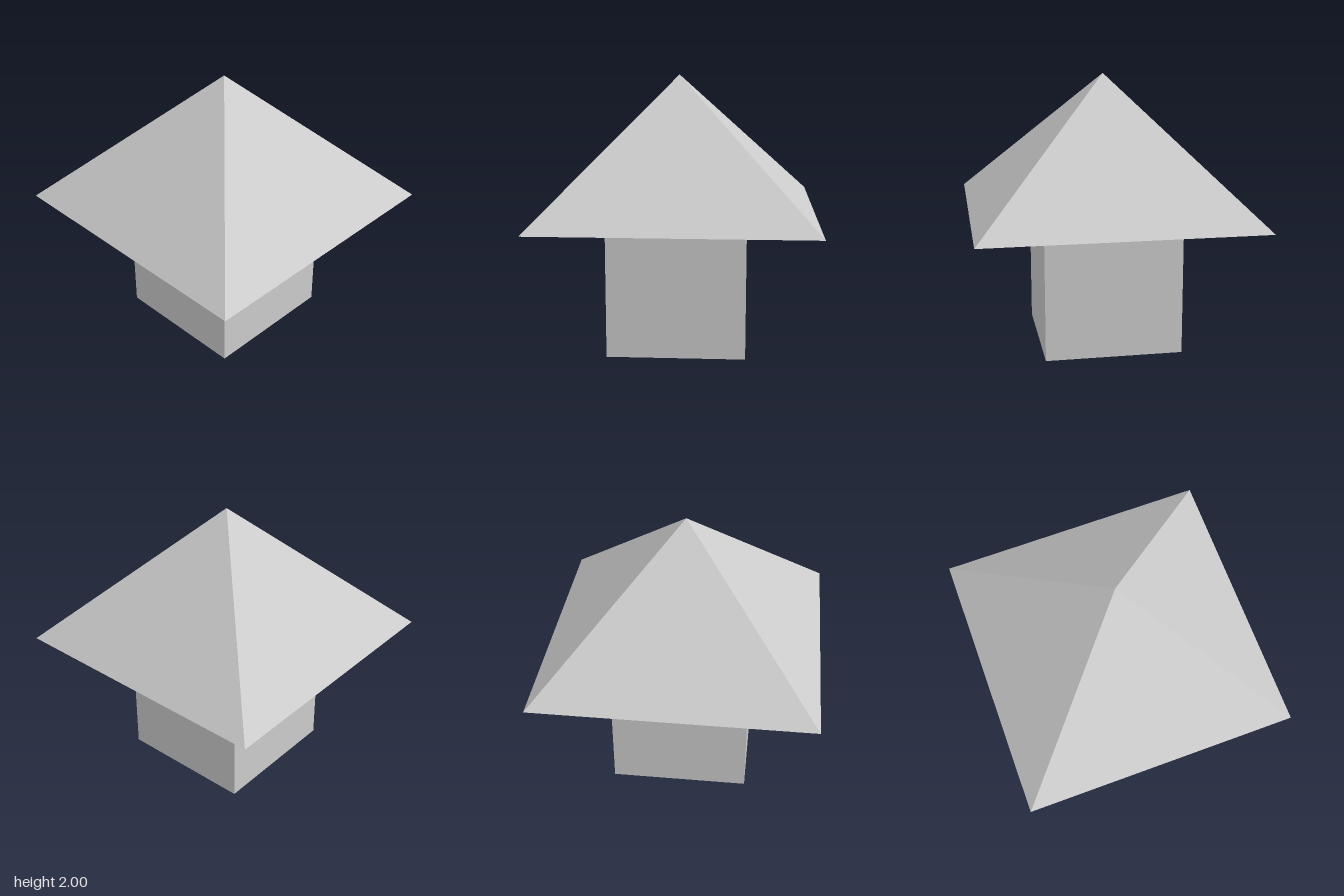
import * as THREE from 'three';

export function createModel() {
  const group = new THREE.Group();
  const material = new THREE.MeshStandardMaterial({
    color: 0xcccccc, flatShading: true, side: THREE.DoubleSide,
  });

  const add = (name, geometry, y) => {
    geometry.rotateY(Math.PI / 4); // square sides face the axes
    const mesh = new THREE.Mesh(geometry, material);
    mesh.name = name;
    mesh.position.y = y;
    group.add(mesh);
  };

  // Four thin walls, open underneath
  const wallRadius = 0.5 * Math.SQRT2;
  add('walls', new THREE.CylinderGeometry(wallRadius, wallRadius, 1, 4, 1, true), 0.5);

  // Pyramid roof with a flat underside
  add('roof', new THREE.ConeGeometry(Math.SQRT2, 1, 4), 1.5);

  return group;
}
